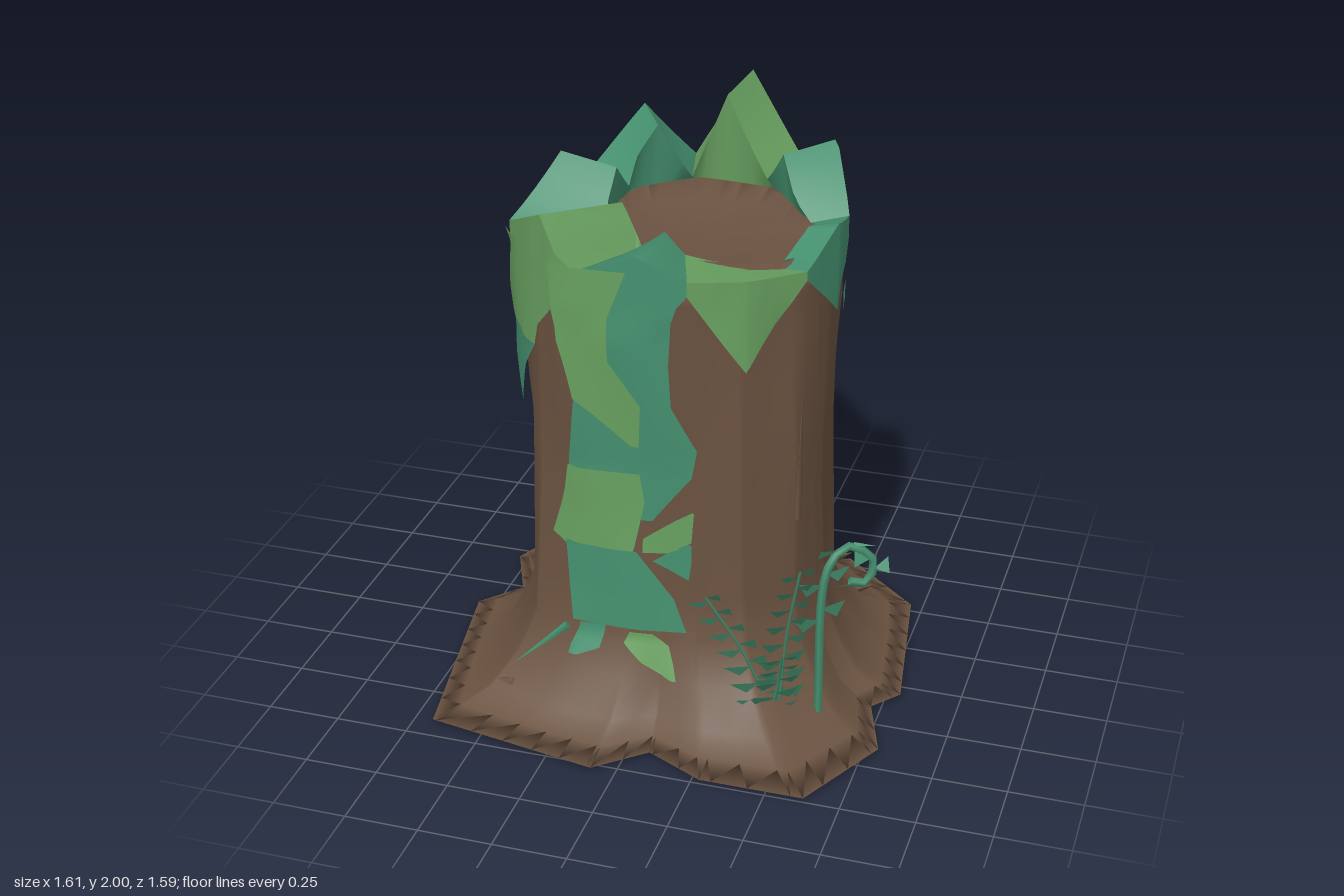
import * as THREE from 'three';
import { toCreasedNormals } from 'three/addons/utils/BufferGeometryUtils.js';

const DEG = Math.PI / 180;
const bark = new THREE.MeshStandardMaterial({ color: 0x6a5240 });
const lightMoss = new THREE.MeshStandardMaterial({ color: 0x68a060, side: THREE.DoubleSide });
const darkMoss = new THREE.MeshStandardMaterial({ color: 0x45906f, side: THREE.DoubleSide });
bark.name = 'bark'; lightMoss.name = 'lightMoss'; darkMoss.name = 'darkMoss';

// Outlines seen from above, as [x, z]
const BASE = [[-.63, -.78], [.05, -.8], [.21, -.72], [.42, -.78], [.71, -.52], [.8, .07], [.72, .17], [.8, .41],
  [.63, .75], [.28, .75], [.08, .65], [-.08, .79], [-.68, .68], [-.81, -.08], [-.69, -.22], [-.78, -.43]];
const MID = [[.05, -.49], [.32, -.41], [.47, -.2], [.5, .05], [.46, .25], [.3, .4], [.05, .43], [-.2, .45], [-.4, .37],
  [-.48, .15], [-.47, -.1], [-.38, -.3], [-.2, -.42]];
const RIM = [[.08, -.51], [.28, -.45], [.42, -.32], [.5, -.15], [.51, 0], [.46, .21], [.31, .36], [.15, .44],
  [-.26, .47], [-.4, .34], [-.52, .18], [-.45, 0], [-.37, -.2], [-.24, -.36], [-.08, -.47]];
const INNER = [[-.05, -.33], [.2, -.32], [.33, -.15], [.42, -.1], [.42, .02], [.37, .15], [.27, .2], [-.15, .18], [-.25, .05], [-.22, -.2]];

// Distance from the axis to an outline at angle t (0 = front, growing toward +x)
function reach(outline, t) {
  const dx = Math.sin(t), dz = Math.cos(t);
  let best = 0;
  outline.forEach((a, i) => {
    const b = outline[(i + 1) % outline.length];
    const ex = b[0] - a[0], ez = b[1] - a[1], det = ex * dz - ez * dx;
    if (Math.abs(det) < 1e-9) return;
    const s = -(a[0] * dz - a[1] * dx) / det;
    if (s >= -1e-6 && s <= 1 + 1e-6) best = Math.max(best, (a[0] + s * ex) * dx + (a[1] + s * ez) * dz);
  });
  return best;
}

// Trunk radius: flared roots, body, then the rim outline
const FLARE = [[.015, 1], [.045, .76], [.09, .5], [.2, .25], [.34, .06], [.5, .03], [.8, 0]];
function radius(t, y) {
  let flare = 0;
  for (let i = 0; i < FLARE.length - 1; i++) {
    const [y0, f0] = FLARE[i], [y1, f1] = FLARE[i + 1];
    if (y >= y0 && y <= y1) flare = f0 + (f1 - f0) * (y - y0) / (y1 - y0);
  }
  const top = THREE.MathUtils.clamp((y - .95) / .45, 0, 1);
  const mid = reach(MID, t);
  let r = mid + (reach(BASE, t) - mid) * flare + (reach(RIM, t) - mid) * top;
  if (y > .1 && y < 1.5) r += .008 * Math.sin(9 * t + 4 * y) * Math.sin(3 * y);
  return r;
}
const at = (t, r, y) => [r * Math.sin(t), y, r * Math.cos(t)];
const lipHeight = t => 1.635 - .025 * Math.cos(t);

// Surface through rows of points, left to right and bottom to top
function grid(rows, closed) {
  const n = rows[0].length, index = [];
  for (let i = 0; i < rows.length - 1; i++) {
    for (let j = 0; j < (closed ? n : n - 1); j++) {
      const k = (j + 1) % n, a = i * n + j, b = i * n + k, c = b + n, d = a + n;
      index.push(a, b, c, a, c, d);
    }
  }
  const g = new THREE.BufferGeometry();
  g.setAttribute('position', new THREE.Float32BufferAttribute(rows.flat(2), 3));
  g.setIndex(index);
  g.computeVertexNormals();
  return g;
}

function add(parent, name, geometry, material) {
  const m = new THREE.Mesh(geometry, material);
  m.name = name;
  parent.add(m);
  return m;
}

function addGroup(parent, name) {
  const g = new THREE.Group();
  g.name = name;
  parent.add(g);
  return g;
}

// Trunk with root flare, underside and a shallow hollow; columns include every root corner
function makeTrunk() {
  const angles = BASE.map(([x, z]) => Math.atan2(x, z));
  for (let i = 0; i < 48; i++) angles.push((i / 24 - 1) * Math.PI + .01);
  angles.sort((a, b) => a - b);
  const ring = (y, f) => angles.map(t => at(t, f(t), y));
  const rows = [ring(0, () => 0), ring(0, t => reach(BASE, t) * .6)];
  for (const [y] of FLARE) rows.push(ring(y, t => radius(t, y)));
  for (let y = .95; y < 1.58; y += .15) rows.push(ring(y, t => radius(t, y)));
  rows.push(ring(1.6, t => radius(t, 1.6)), ring(1.6, t => reach(INNER, t) + .05));
  rows.push(angles.map(t => at(t, reach(INNER, t) + .03, lipHeight(t))));
  rows.push(ring(1.6, t => reach(INNER, t) - .01), ring(1.6, () => 0));
  return grid(rows, true);
}

// One moss lobe draped over the rim: hanging tip outside, peak on top, slope inside
function rimLobe(a0, y0, a1, y1, peakA, peakY, tipA, tipY) {
  const ramp = (a, m, lo, mid, hi) => a < m ? lo + (mid - lo) * (a - a0) / (m - a0) : mid + (hi - mid) * (a - m) / (a1 - m);
  const stops = [...Array(9).keys()].map(i => a0 + (a1 - a0) * i / 8).concat(peakA, tipA);
  const cols = [...new Set(stops)].sort((p, q) => p - q);
  const rows = [[], [], [], [], [], []];
  for (const a of cols) {
    const t = a * DEG, top = ramp(a, peakA, y0, peakY, y1), low = ramp(a, tipA, 1.59, tipY, 1.59);
    [0, .33, .66, 1].forEach((f, i) => {
      const y = low + (top - low) * f;
      rows[i].push(at(t, radius(t, y) + .016, y));
    });
    rows[4].push(at(t, reach(INNER, t), top - .025));
    rows[5].push(at(t, reach(INNER, t) + .03, lipHeight(t)));
  }
  return toCreasedNormals(grid(rows, false), 65 * DEG);
}

// Moss patch lying on the trunk; rows are [y, left angle, right angle] from the bottom up
function patch(rows, lift) {
  const fine = [];
  rows.forEach((r, i) => {
    if (i) for (const f of [.33, .66]) fine.push(r.map((v, k) => rows[i - 1][k] + (v - rows[i - 1][k]) * f));
    fine.push(r);
  });
  return grid(fine.map(([y, l, r]) => [0, .2, .4, .6, .8, 1].map(f => {
    const t = (l + (r - l) * f) * DEG;
    return at(t, radius(t, y) + lift, y);
  })), false);
}

// Fern frond: thin stem with broad triangular leaflets on both sides
function makeFrond(parent, points, from, count, thick) {
  const g = addGroup(parent, 'frond');
  const curve = new THREE.CatmullRomCurve3(points.map(p => new THREE.Vector3(...p)));
  add(g, 'frondStem', new THREE.TubeGeometry(curve, 18, thick, 5), darkMoss);
  const pos = [];
  for (let i = 0; i < count; i++) {
    const f = i / (count - 1), len = .09 * (1 - .35 * f);
    for (const s of [-1, 1]) {
      const u = Math.min(1, from + (.97 - from) * (f + (s > 0 ? .4 / count : 0)));
      const p = curve.getPointAt(u), dir = curve.getTangentAt(u);
      const out = new THREE.Vector3(.82 * s, .1, -.55 * s).normalize();
      const a = p.clone().addScaledVector(out, len).addScaledVector(dir, len * .3);
      const b = p.clone().addScaledVector(out, len * .65).addScaledVector(dir, -len * .5);
      a.z += .03;
      pos.push(...p.toArray(), ...b.toArray(), ...a.toArray());
    }
  }
  const leaves = new THREE.BufferGeometry();
  leaves.setAttribute('position', new THREE.Float32BufferAttribute(pos, 3));
  leaves.computeVertexNormals();
  add(g, 'leaflets', leaves, darkMoss);
}

// Tapered sliver between two points
function sliver(parent, name, a, b, r, material) {
  const p = new THREE.Vector3(...a), d = new THREE.Vector3(...b).sub(p);
  const m = add(parent, name, new THREE.ConeGeometry(r, d.length(), 4), material);
  m.position.copy(p).addScaledVector(d, .5);
  m.quaternion.setFromUnitVectors(new THREE.Vector3(0, 1, 0), d.normalize());
}

export function createModel() {
  const model = new THREE.Group();
  model.name = 'mossyStump';
  add(model, 'trunk', makeTrunk(), bark);
  const L = lightMoss, D = darkMoss;

  // Moss crown around the rim: [material, start angle, height, peak angle, height, tip angle, height]
  const crown = addGroup(model, 'mossCrown');
  const lobes = [[D, -24, 1.64, -2, 1.71, 4, 1.45], [L, 18, 1.64, 40, 1.63, 40, 1.32], [D, 65, 1.62, 88, 1.71, 90, 1.4],
    [D, 106, 1.67, 130, 1.85, 127, 1.38], [L, 149, 1.72, 171, 2, 171, 1.3], [D, 192, 1.7, 214, 1.9, 214, 1.48],
    [D, 241, 1.72, 262, 1.82, 284, 1.1], [L, 289, 1.66, 320, 1.79, 312, 1.35]];
  lobes.forEach(([m, a, y, ...ends], i) => {
    const next = lobes[(i + 1) % 8];
    add(crown, 'rimMoss', rimLobe(a, y, next[1] + (i === 7 ? 360 : 0), next[2], ...ends), m);
  });

  // Moss hanging down the front and side
  const column = addGroup(model, 'hangingMoss');
  const hang = (m, lift, ...rows) => add(column, 'mossPatch', patch(rows, lift), m);
  hang(L, .03, [1.34, -80, -42], [1.64, -71, -34]);
  hang(D, .03, [1.03, -66, -64], [1.2, -80, -52], [1.34, -80, -42]);
  hang(L, .03, [1.05, -4, -1], [1.2, -25, 0], [1.35, -28, -12], [1.5, -31, -12], [1.66, -33, -5]);
  hang(D, .03, [1.2, 0, 12], [1.35, -12, 11], [1.5, -12, 12], [1.66, -5, 18]);
  hang(D, .025, [.78, 0, 4], [.95, -29, 20], [1.05, -27, 22], [1.2, -25, 12]);
  hang(L, .03, [.65, -30, -4], [.68, -36, -3], [.85, -31, 1], [.95, -29, -1]);
  hang(L, .02, [.66, 0, 12], [.71, 0, 20], [.82, 20, 21]);
  hang(D, .02, [.57, 18, 19], [.63, 4, 20], [.7, 18, 20]);
  hang(D, .035, [.38, -26, 18], [.5, -28, 13], [.67, -30, -2]);
  hang(D, .02, [.26, -26, -23], [.29, -26, -16], [.37, -24, -15]);
  hang(L, .02, [.21, 12, 14], [.26, 1, 13], [.32, -7, 11], [.36, -5, 4]);
  for (const [a, y] of [[112, 1.36], [140, 1.34]]) hang(D, .012, [y - .05, a, a], [y, a - 2, a + 2], [y + .06, a, a]);

  // Ferns at the root
  const ferns = addGroup(model, 'ferns');
  makeFrond(ferns, [[.44, .1, .43], [.36, .38, .52], [.26, .62, .61]], .12, 7, .005);
  makeFrond(ferns, [[.46, .1, .43], [.5, .45, .5], [.56, .75, .58]], .12, 8, .005);
  makeFrond(ferns, [[.43, .08, .44], [.47, .25, .48], [.5, .4, .55]], .1, 5, .005);
  makeFrond(ferns, [[.58, .09, .37], [.6, .65, .36], [.65, .71, .31], [.73, .65, .27], [.71, .57, .28], [.66, .58, .31]], .4, 5, .015);

  // Root splinters, bark slivers and a mossy twig
  for (const [a, r] of [[134, .58], [255, .6], [-35, .59], [152, .63]]) {
    sliver(model, 'rootSplinter', at(a * DEG, r, .08), at((a - 8) * DEG, r + .15, .13), .05, bark);
  }
  for (const a of [62, 150, 225]) {
    const t = a * DEG;
    sliver(model, 'barkRidge', at(t, radius(t, .75), .75), at(t + .06, radius(t + .06, 1.2) + .005, 1.2), .016, bark);
  }
  sliver(model, 'twig', [-.26, .35, .48], [-.43, .21, .55], .018, darkMoss);
  return model;
}
